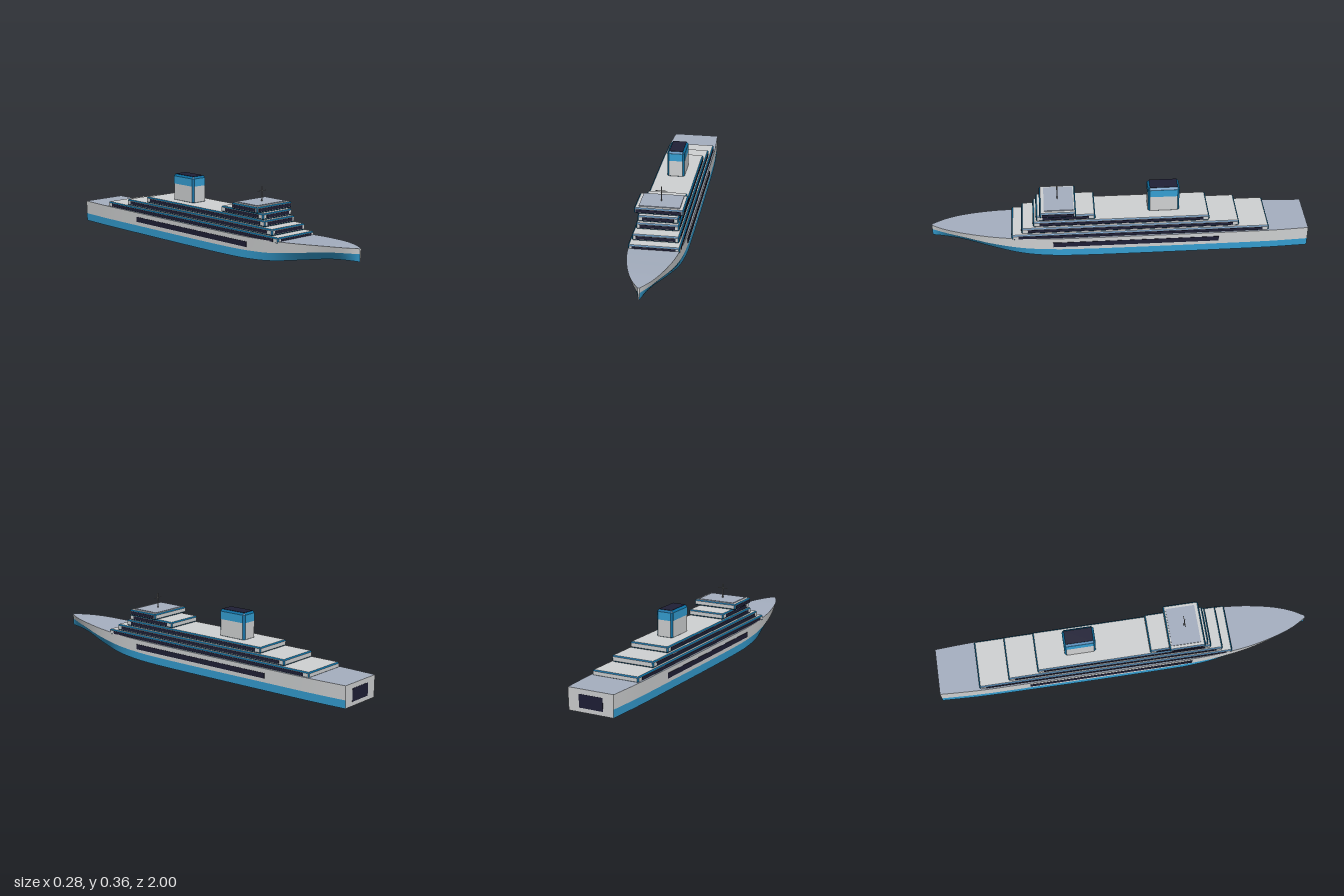
import * as THREE from 'three';
import { ConvexGeometry } from 'three/addons/geometries/ConvexGeometry.js';

const paint = (name, color) => {
  const m = new THREE.MeshStandardMaterial({ color });
  m.name = name;
  return m;
};

export function createModel() {
  const white = paint('white', 0xd0d2d3);
  const blue = paint('blue', 0x359fd3);
  const trim = paint('dark blue trim', 0x0b70a3);
  const deckGrey = paint('deck grey', 0xa5afc0);
  const glass = paint('dark glass', 0x1f1f36);
  const metal = paint('mast grey', 0x808080);

  const ship = new THREE.Group();
  ship.name = 'ship';

  const add = (name, geometry, material, x = 0, y = 0, z = 0, parent = ship) => {
    const mesh = new THREE.Mesh(geometry, material);
    mesh.name = name;
    mesh.position.set(x, y, z);
    parent.add(mesh);
    return mesh;
  };
  const box = (name, w, h, d, material, x, y, z, parent) =>
    add(name, new THREE.BoxGeometry(w, h, d), material, x, y, z, parent);

  // Box with all edges chamfered; flat faces get group 0, chamfers group 1
  function chamferBox(w, h, d, c) {
    const points = [];
    for (const sx of [-1, 1]) for (const sy of [-1, 1]) for (const sz of [-1, 1]) {
      const [x, y, z] = [w / 2, h / 2, d / 2];
      points.push(
        new THREE.Vector3(sx * x, sy * (y - c), sz * (z - c)),
        new THREE.Vector3(sx * (x - c), sy * y, sz * (z - c)),
        new THREE.Vector3(sx * (x - c), sy * (y - c), sz * z));
    }
    const g = new ConvexGeometry(points);
    const n = g.attributes.normal;
    for (let i = 0; i < n.count; i += 3) {
      const flat = Math.max(Math.abs(n.getX(i)), Math.abs(n.getY(i)), Math.abs(n.getZ(i))) > 0.98;
      g.addGroup(i, 3, flat ? 0 : 1);
    }
    return g;
  }

  // Hull stations: z, half width at keel, waterline and deck, bow rise 0..1
  const stations = [
    [-1, 0.125, 0.127, 0.128, 0],
    [-0.8, 0.134, 0.136, 0.138, 0],
    [-0.55, 0.137, 0.1385, 0.14, 0],
    [0.2, 0.137, 0.1385, 0.14, 0],
    [0.36, 0.135, 0.137, 0.139, 0.06],
    [0.52, 0.12, 0.13, 0.133, 0.22],
    [0.68, 0.086, 0.112, 0.117, 0.56],
    [0.84, 0.04, 0.073, 0.081, 0.9],
    [0.93, 0.017, 0.039, 0.047, 0.98],
    [1, 0.002, 0.004, 0.006, 1],
  ];
  const line = (column, base, rise) => new THREE.CatmullRomCurve3(stations.map(
    (s) => new THREE.Vector3(s[column], base + rise * s[4], s[0]))).getPoints(54);
  const keel = line(1, 0, 0.075);
  const water = line(2, 0.043, 0.07);
  const sheer = line(3, 0.116, 0.024);
  const mirror = (pts) => pts.map((p) => new THREE.Vector3(-p.x, p.y, p.z));

  // Skin between two lengthwise lines
  function ribbon(name, a, b, material) {
    const position = [], index = [];
    a.forEach((p, i) => {
      position.push(...p.toArray(), ...b[i].toArray());
      if (i) {
        const k = 2 * i - 2;
        index.push(k, k + 1, k + 2, k + 1, k + 3, k + 2);
      }
    });
    const g = new THREE.BufferGeometry();
    g.setAttribute('position', new THREE.Float32BufferAttribute(position, 3));
    g.setIndex(index);
    g.computeVertexNormals();
    add(name, g, material);
  }
  ribbon('hullBottom', mirror(keel), keel, trim);
  ribbon('lowerHullLeft', keel, water, blue);
  ribbon('lowerHullRight', mirror(water), mirror(keel), blue);
  ribbon('upperHullLeft', water, sheer, white);
  ribbon('upperHullRight', mirror(sheer), mirror(water), white);
  ribbon('mainDeck', sheer, mirror(sheer), deckGrey);

  // Flat ends of the hull
  for (const [name, i, z, turn] of [['transom', 0, -1, Math.PI], ['stem', keel.length - 1, 1, 0]]) {
    const right = [keel[i], water[i], sheer[i]];
    const outline = [...right, ...mirror(right).reverse()].map((p) => new THREE.Vector2(p.x, p.y));
    add(name, new THREE.ShapeGeometry(new THREE.Shape(outline)), white, 0, 0, z).rotation.y = turn;
  }

  // Long hull windows and stern window
  for (const s of [-1, 1]) box('hullWindow', 0.005, 0.028, 0.88, glass, s * 0.139, 0.078, -0.08);
  box('sternWindow', 0.134, 0.068, 0.004, glass, 0, 0.056, -1 + 0.001);

  // Stepped decks: name, half width, bottom, top, back z, front z, front window half width, side inset
  const tiers = [
    ['firstTier', 0.131, 0.111, 0.142, -0.787, 0.577, 0.11, 0.035],
    ['secondTier', 0.12, 0.142, 0.1755, -0.627, 0.524, 0.1, 0.033],
    ['thirdTier', 0.11, 0.1765, 0.209, -0.469, 0.462, 0.09, 0.033],
    ['fourthTier', 0.105, 0.21, 0.242, 0.134, 0.445, 0.08, 0.033],
    ['bridge', 0.126, 0.243, 0.2745, 0.235, 0.425, 0.117, 0.012],
  ];
  for (const [name, hw, y0, y1, z0, z1, win, inset] of tiers) {
    const tier = new THREE.Group();
    tier.name = name;
    ship.add(tier);
    const y = (y0 + y1) / 2, z = (z0 + z1) / 2, d = z1 - z0;
    add(name + 'Body', chamferBox(2 * hw, y1 - y0, d, 0.006), [white, trim], 0, y, z, tier);
    box(name + 'FrontWindow', 2 * win, 0.016, 0.004, glass, 0, y, z1, tier);
    for (const s of [-1, 1]) {
      box(name + 'SideWindow', 0.004, 0.016, d - 2 * inset, glass, s * hw, y, z, tier);
    }
  }
  box('bridgeRoof', 0.21, 0.006, 0.155, deckGrey, 0, 0.276, 0.325);

  // Funnel with blue band and dark top
  const funnel = new THREE.Group();
  funnel.name = 'funnel';
  funnel.position.set(0, 0.2, -0.231);
  ship.add(funnel);
  add('funnelBody', chamferBox(0.094, 0.15, 0.166, 0.01), [white, trim], 0, 0.075, 0, funnel);
  box('funnelBandSides', 0.096, 0.042, 0.146, blue, 0, 0.119, 0, funnel);
  box('funnelBandEnds', 0.074, 0.042, 0.168, blue, 0, 0.119, 0, funnel);
  box('funnelTop', 0.074, 0.003, 0.146, glass, 0, 0.15, 0, funnel);

  // Mast with crossbar
  add('mast', new THREE.CylinderGeometry(0.003, 0.003, 0.08, 10), metal, 0, 0.318, 0.33);
  box('mastCrossbar', 0.06, 0.003, 0.003, metal, 0, 0.334, 0.33);

  return ship;
}
